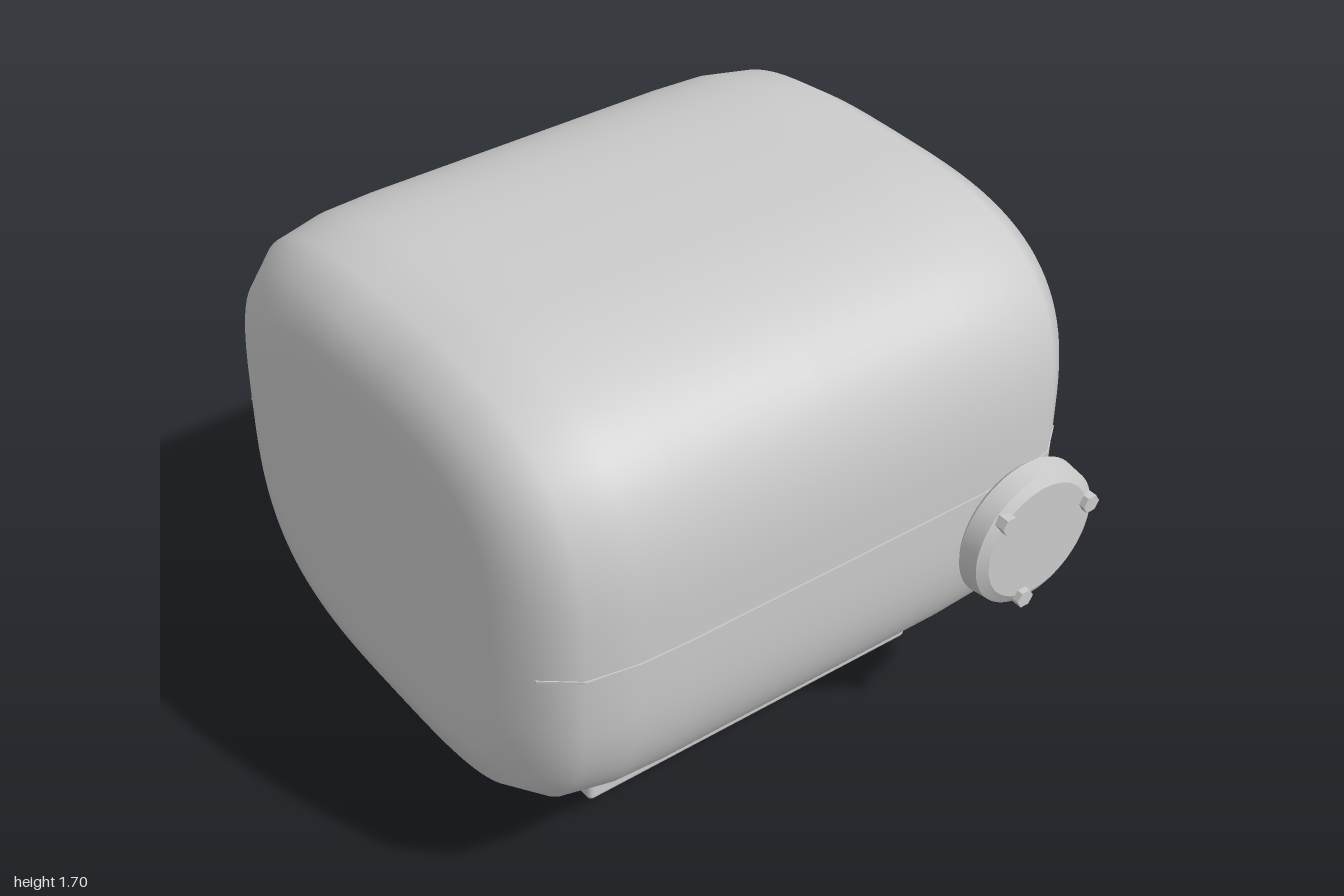
import * as THREE from 'three';
import { toCreasedNormals } from 'three/addons/utils/BufferGeometryUtils.js';
import { RoundedBoxGeometry } from 'three/addons/geometries/RoundedBoxGeometry.js';

const grey = new THREE.MeshStandardMaterial({ color: 0xcccccc });
const CX = 0.02, CY = 0.98, HALF_W = 0.86, HALF_H = 0.72;

// Housing stations from the back end to the front end: [z, scale]
const halfStations = [[0.66, 0.993], [0.81, 0.96], [0.91, 0.868], [0.948, 0.705]];
const stations = [
  ...halfStations.map(([z, s]) => [-z, s]).reverse(),
  [-0.5, 1], [0, 1], [0.5, 1],
  ...halfStations,
];

function add(group, name, geometry, x = 0, y = 0, z = 0) {
  const mesh = new THREE.Mesh(geometry, grey);
  mesh.name = name;
  mesh.position.set(x, y, z);
  group.add(mesh);
  return mesh;
}

// Smooth shell lofted through squircle cross-sections, closed at both ends
function housingGeometry() {
  const seg = 96, power = 2 / 3.2;
  const rings = [[-0.948, 0], [-0.948, 0.58], ...stations, [0.948, 0.58], [0.948, 0]];
  const bend = (v) => Math.sign(v) * Math.pow(Math.abs(v), power);
  const positions = [], index = [];
  for (const [z, s] of rings) {
    for (let i = 0; i < seg; i++) {
      const a = (i / seg) * Math.PI * 2;
      positions.push(HALF_W * s * bend(Math.cos(a)), HALF_H * s * bend(Math.sin(a)), z);
    }
  }
  for (let r = 0; r < rings.length - 1; r++) {
    for (let i = 0; i < seg; i++) {
      const j = (i + 1) % seg;
      const a = r * seg + i, b = r * seg + j, c = a + seg, d = b + seg;
      if (rings[r][1] > 0) index.push(a, b, d);
      if (rings[r + 1][1] > 0) index.push(a, d, c);
      else index.push(a, b, c);
      if (rings[r][1] === 0) index.splice(-3, 3, a, d, c);
    }
  }
  const g = new THREE.BufferGeometry();
  g.setAttribute('position', new THREE.Float32BufferAttribute(positions, 3));
  g.setIndex(index);
  g.computeVertexNormals();
  return g;
}

// Thin parting line standing slightly proud of the housing sides
function seamGeometry() {
  const path = stations.filter(([z]) => Math.abs(z) < 0.92);
  const points = [
    ...path.map(([z, s]) => new THREE.Vector2(HALF_W * s + 0.004, z)),
    ...path.slice().reverse().map(([z, s]) => new THREE.Vector2(-HALF_W * s - 0.004, z)),
  ];
  const g = new THREE.ExtrudeGeometry(new THREE.Shape(points), { depth: 0.006, bevelEnabled: false });
  g.rotateX(Math.PI / 2);
  return g;
}

// Round bolted cover; its axis points to +x (side 1) or -x (side -1)
function boltedCover(name, side, profile, boltCount, boltRadius, startAngle, faceX, tipX) {
  const cover = new THREE.Group();
  cover.name = name;
  const plate = new THREE.LatheGeometry(profile.map(([r, d]) => new THREE.Vector2(r, d)), 64);
  plate.rotateZ(-side * Math.PI / 2);
  add(cover, 'coverPlate', toCreasedNormals(plate, 0.4));
  const length = tipX - faceX + 0.02;
  for (let i = 0; i < boltCount; i++) {
    const a = startAngle + (i / boltCount) * Math.PI * 2;
    const bolt = new THREE.CylinderGeometry(0.03, 0.03, length, 6);
    bolt.rotateZ(Math.PI / 2);
    add(cover, 'coverBolt', toCreasedNormals(bolt, 0.4),
      side * (tipX - length / 2), boltRadius * Math.sin(a), boltRadius * Math.cos(a));
  }
  return cover;
}

export function createModel() {
  const model = new THREE.Group();
  model.name = 'housingUnit';

  add(model, 'housing', housingGeometry(), CX, CY, 0);
  add(model, 'partingLine', seamGeometry(), CX, 0.978, 0);

  // Large cover on the -x side
  const large = boltedCover('largeCover', -1,
    [[0, 0.835], [0.455, 0.835], [0.465, 0.843], [0.465, 0.858], [0.435, 0.962], [0.405, 0.987], [0, 0.987]],
    6, 0.4, THREE.MathUtils.degToRad(45), 0.987, 1.0);
  large.position.set(0, 0.89, -0.335);
  model.add(large);

  // Small cover on the +x side, with its hub reaching into the housing
  const small = boltedCover('smallCover', 1,
    [[0, 0.82], [0.12, 0.82], [0.12, 0.886], [0.215, 0.886], [0.229, 0.9], [0.222, 0.962], [0.19, 0.98], [0, 0.98]],
    3, 0.192, THREE.MathUtils.degToRad(43), 0.98, 1.0);
  small.position.set(0, 0.805, -0.67);
  model.add(small);

  // Base block with lengthwise ribs underneath
  add(model, 'base', new RoundedBoxGeometry(0.93, 0.21, 1.225, 3, 0.018), 0.022, 0.18, -0.053);
  for (let i = 0; i < 4; i++) {
    add(model, 'baseRib', new THREE.BoxGeometry(0.026, 0.085, 1.11), -0.335 + i * 0.237, 0.0575, -0.055);
  }

  // Hexagonal drain plug
  const plug = new THREE.CylinderGeometry(0.06, 0.06, 0.09, 6);
  plug.rotateY(Math.PI / 2);
  add(model, 'drainPlug', toCreasedNormals(plug, 0.4), 0.022, 0.045, 0.338);

  return model;
}
